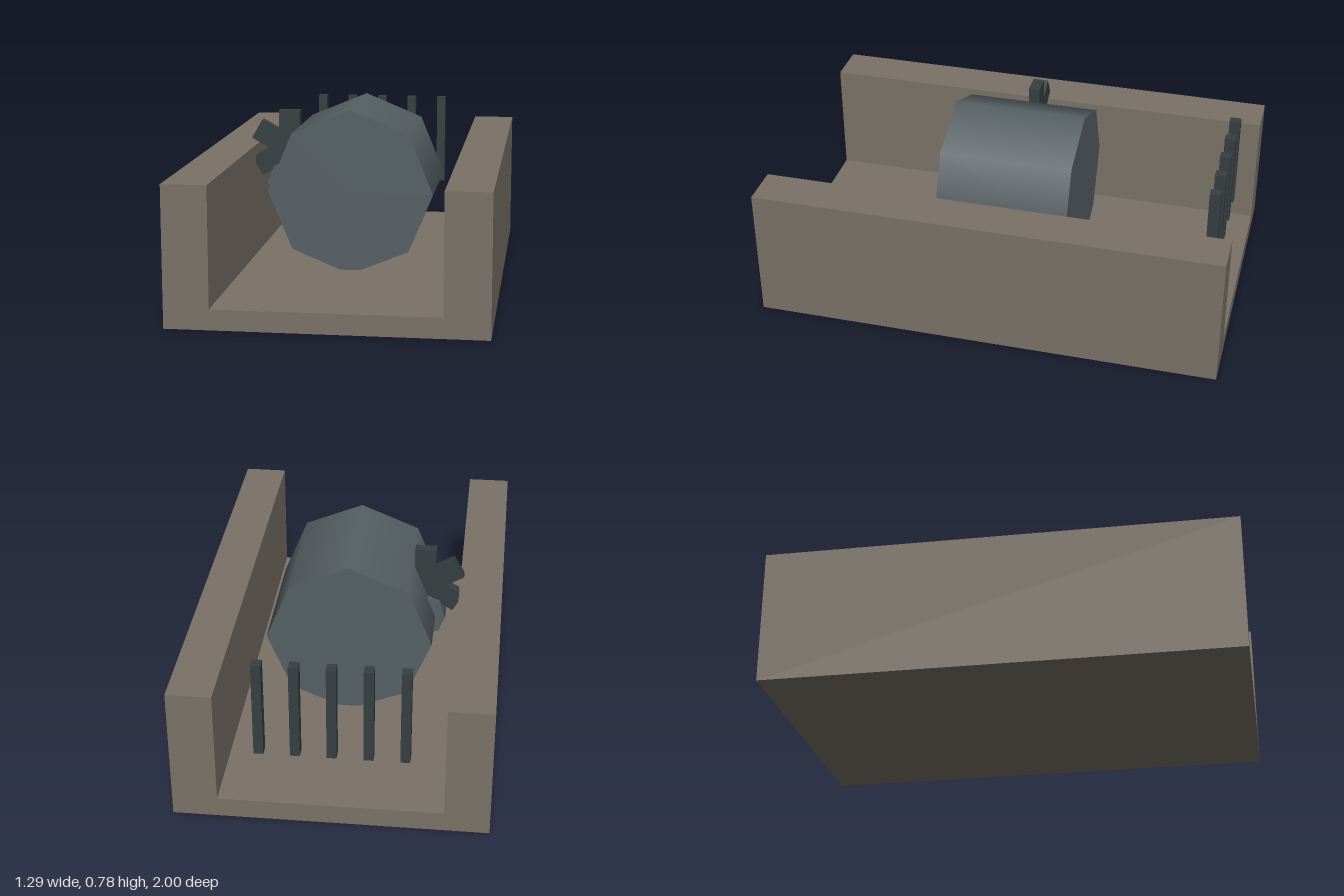
import * as THREE from 'three';

const stone = new THREE.MeshStandardMaterial({ color: 0x7a7268 });
const steel = new THREE.MeshStandardMaterial({ color: 0x566064 });
const iron = new THREE.MeshStandardMaterial({ color: 0x363f41 });

export function createModel() {
  const model = new THREE.Group();

  const add = (name, geometry, material, x, y, z) => {
    const mesh = new THREE.Mesh(geometry, material);
    mesh.name = name;
    mesh.position.set(x, y, z);
    model.add(mesh);
    return mesh;
  };

  // U-shaped channel running front to back
  const W = 0.645, I = 0.46, H = 0.58, F = 0.085;
  const section = new THREE.Shape([
    [-W, 0], [W, 0], [W, H], [I, H], [I, F], [-I, F], [-I, H], [-W, H],
  ].map(([x, y]) => new THREE.Vector2(x, y)));
  add('channel', new THREE.ExtrudeGeometry(section, { depth: 2, bevelEnabled: false }), stone, 0, 0, -1);

  // Eight-sided smooth-shaded cylinders lying along z
  const octagon = (radius, depth) => new THREE.CylinderGeometry(radius, radius, depth, 8).rotateX(Math.PI / 2);
  add('drum', octagon(0.357, 0.575), steel, 0, 0.424, 0);
  add('hub', octagon(0.097, 0.106), steel, -0.304, 0.422, 0);

  // Star of three crossed blades beside the drum
  for (let i = 0; i < 3; i++) {
    const blade = add('blade', new THREE.BoxGeometry(0.093, 0.338, 0.048), iron, -0.307, 0.569, 0);
    blade.rotation.z = i * Math.PI / 3;
  }

  // Row of upright bars at the back
  for (let i = -2; i <= 2; i++) {
    add('grateBar', new THREE.BoxGeometry(0.04, 0.42, 0.048), iron, i * 0.148, 0.48, -0.903);
  }

  return model;
}
